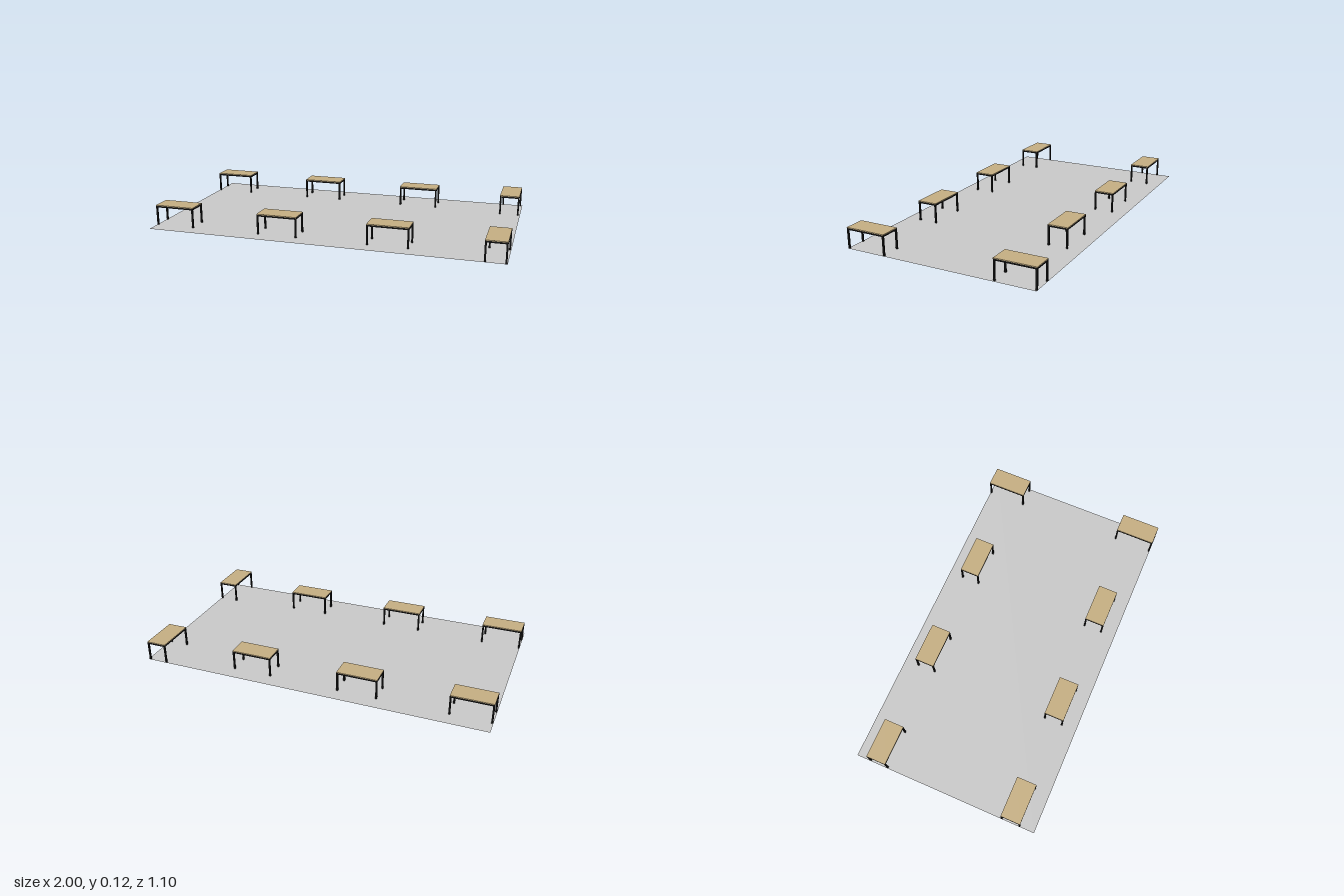
import * as THREE from 'three';

const L = 0.232, W = 0.115, H = 0.117; // table length, width, height
const BAR = 0.009, TOP = 0.004;        // steel section and board thickness

const wood = new THREE.MeshStandardMaterial({ color: 0xc8b184 });
const steel = new THREE.MeshStandardMaterial({ color: 0x111111 });
const grey = new THREE.MeshStandardMaterial({ color: 0xcccccc, side: THREE.DoubleSide });

function box(parent, name, material, size, pos) {
  const mesh = new THREE.Mesh(new THREE.BoxGeometry(...size), material);
  mesh.name = name;
  mesh.position.set(...pos);
  parent.add(mesh);
}

// One table: board on a rail frame with four corner legs
function createTable() {
  const table = new THREE.Group();
  table.name = 'table';
  box(table, 'tableTop', wood, [L, TOP, W], [0, H - TOP / 2, 0]);
  const frameTop = H - TOP, railY = frameTop - BAR / 2;
  const x = L / 2 - BAR / 2, z = W / 2 - BAR / 2;
  for (const s of [-1, 1]) {
    box(table, 'longRail', steel, [L - 2 * BAR, BAR, BAR], [0, railY, s * z]);
    box(table, 'endRail', steel, [BAR, BAR, W - 2 * BAR], [s * x, railY, 0]);
    for (const t of [-1, 1]) {
      box(table, 'leg', steel, [BAR, frameTop, BAR], [s * x, frameTop / 2, t * z]);
    }
  }
  return table;
}

export function createModel() {
  const model = new THREE.Group();
  model.name = 'tableHall';

  // Thin floor sheet
  const floor = new THREE.Mesh(new THREE.PlaneGeometry(2, 1.096), grey);
  floor.name = 'floor';
  floor.rotation.x = -Math.PI / 2;
  model.add(floor);

  // Two rows of tables, the last of each row turned sideways: x, z, turned
  const places = [
    [-0.882, -0.41, false], [-0.26, -0.41, false], [0.368, -0.408, false], [0.934, -0.432, true],
    [-0.884, 0.406, false], [-0.26, 0.406, false], [0.368, 0.408, false], [0.94, 0.431, true],
  ];
  for (const [x, z, turned] of places) {
    const table = createTable();
    table.position.set(x, 0, z);
    if (turned) table.rotation.y = Math.PI / 2;
    model.add(table);
  }
  return model;
}
